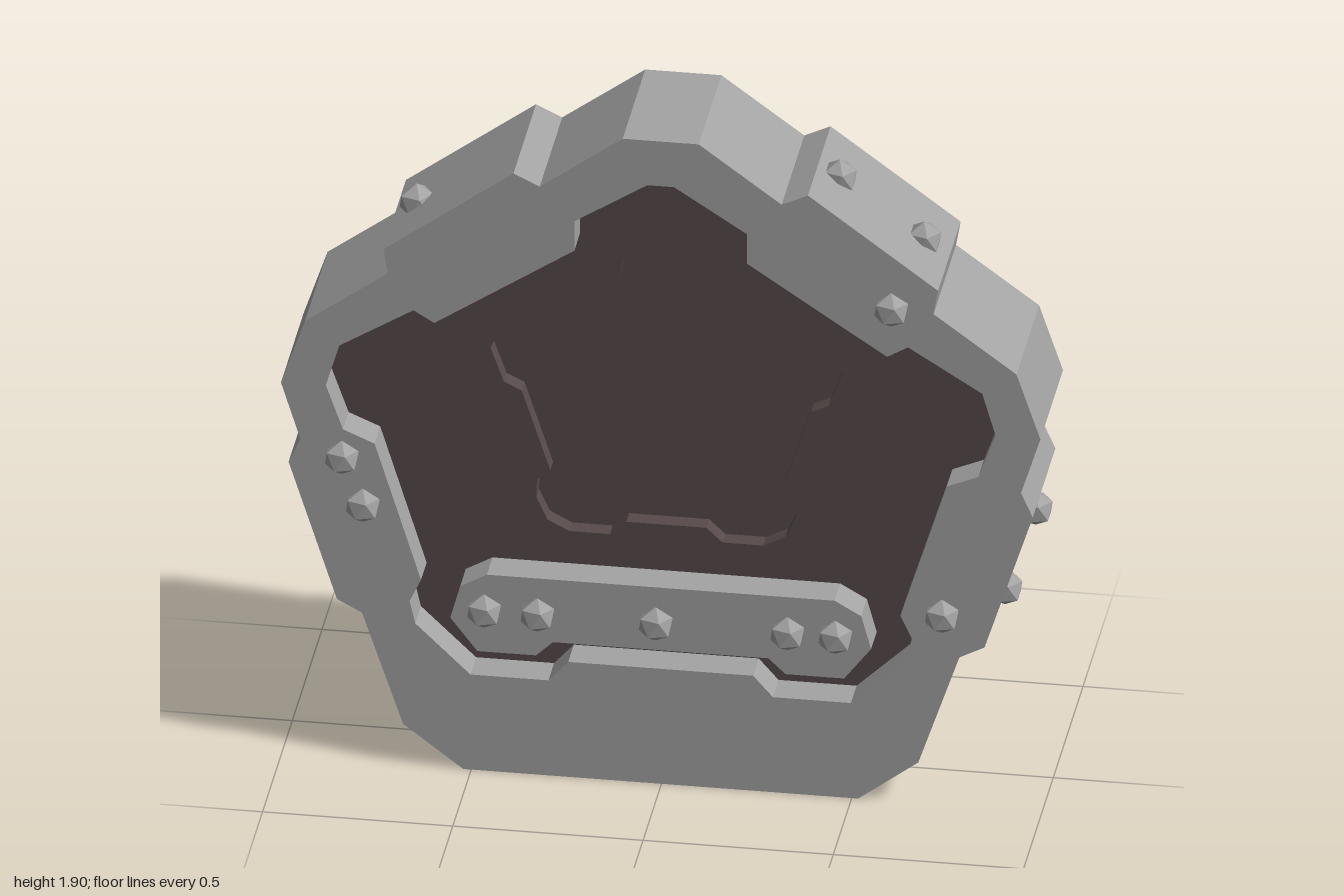
import * as THREE from 'three';

const AXIS = -0.002; // the outlines mirror about this x

// Right halves of the outlines, listed from top to bottom
const OUTER = [[0.1, 1.9], [0.318, 1.74], [0.387, 1.773], [0.729, 1.52], [0.717, 1.45], [0.935, 1.29], [0.998, 1.103],
  [0.947, 0.94], [0.978, 0.87], [0.851, 0.475], [0.785, 0.44], [0.677, 0.12], [0.519, 0]];
const OPENING = [[0.035, 1.768], [0.227, 1.645], [0.227, 1.558], [0.595, 1.313], [0.65, 1.346], [0.845, 1.225], [0.88, 1.105],
  [0.835, 0.978], [0.752, 0.943], [0.63, 0.55], [0.66, 0.485], [0.645, 0.42], [0.5, 0.281], [0.295, 0.281], [0.243, 0.34]];
const RECESS = [[0.027, 1.56], [0.113, 1.487], [0.128, 1.42], [0.31, 1.298], [0.362, 1.323], [0.432, 1.27], [0.462, 1.2],
  [0.427, 1.103], [0.38, 1.08], [0.305, 0.85], [0.34, 0.82], [0.342, 0.768], [0.313, 0.705], [0.255, 0.675],
  [0.148, 0.675], [0.105, 0.715]];
const BAR = [[0.457, 0.58], [0.527, 0.54], [0.553, 0.445], [0.482, 0.352], [0.328, 0.352], [0.283, 0.395]];

// Full anticlockwise outline from a mirrored half
function outline(half) {
  const right = half.map(([x, y]) => new THREE.Vector2(AXIS + x, y)).reverse();
  const left = half.map(([x, y]) => new THREE.Vector2(AXIS - x, y));
  return [...right, ...left];
}

// Slab centred on z = 0, with an optional hole
function slab(name, half, depth, material, holeHalf) {
  const shape = new THREE.Shape(outline(half));
  if (holeHalf) shape.holes.push(new THREE.Path(outline(holeHalf)));
  const geometry = new THREE.ExtrudeGeometry(shape, { depth, bevelEnabled: false });
  geometry.translate(0, 0, -depth / 2);
  const mesh = new THREE.Mesh(geometry, material);
  mesh.name = name;
  return mesh;
}

export function createModel() {
  const model = new THREE.Group();
  model.name = 'pentagonalPlaque';
  const stone = new THREE.MeshStandardMaterial({ color: 0xa3a3a3, flatShading: true });
  stone.name = 'grey metal';
  const dark = new THREE.MeshStandardMaterial({ color: 0x574a4a, flatShading: true });
  dark.name = 'dark brown';

  // Frame, stepped inner panel and crossbar
  model.add(slab('frame', OUTER, 0.38, stone, OPENING));
  model.add(slab('innerPanel', OPENING, 0.19, dark, RECESS));
  model.add(slab('recessFloor', RECESS, 0.095, dark));
  model.add(slab('crossbar', BAR, 0.38, stone));

  // Faceted rivets, all standing on a point
  const rivets = new THREE.Group();
  rivets.name = 'rivets';
  const rivetGeometry = new THREE.IcosahedronGeometry(0.05, 0);
  rivetGeometry.rotateZ(-Math.atan(2 / (1 + Math.sqrt(5))));
  function addRivet(x, y, z) {
    const rivet = new THREE.Mesh(rivetGeometry, stone);
    rivet.name = 'rivet';
    rivet.position.set(x, y, z);
    rivets.add(rivet);
  }

  // Rivets on both faces
  const faceRivets = [[-0.84, 0.895], [-0.785, 0.758], [-0.466, 0.472], [-0.326, 0.472], [-0.015, 0.472], [0.331, 0.472],
    [0.457, 0.472], [0.737, 0.558], [0.604, 1.453]];
  for (const [x, y] of faceRivets) {
    for (const z of [0.188, -0.188]) addRivet(x, y, z);
  }

  // Rivets around the rim
  const rimRivets = [[-0.673, 1.567], [0.439, 1.732], [0.661, 1.567], [0.954, 0.795], [0.874, 0.553], [-0.954, 0.778]];
  for (const [x, y] of rimRivets) addRivet(x, y, 0);
  model.add(rivets);
  return model;
}
